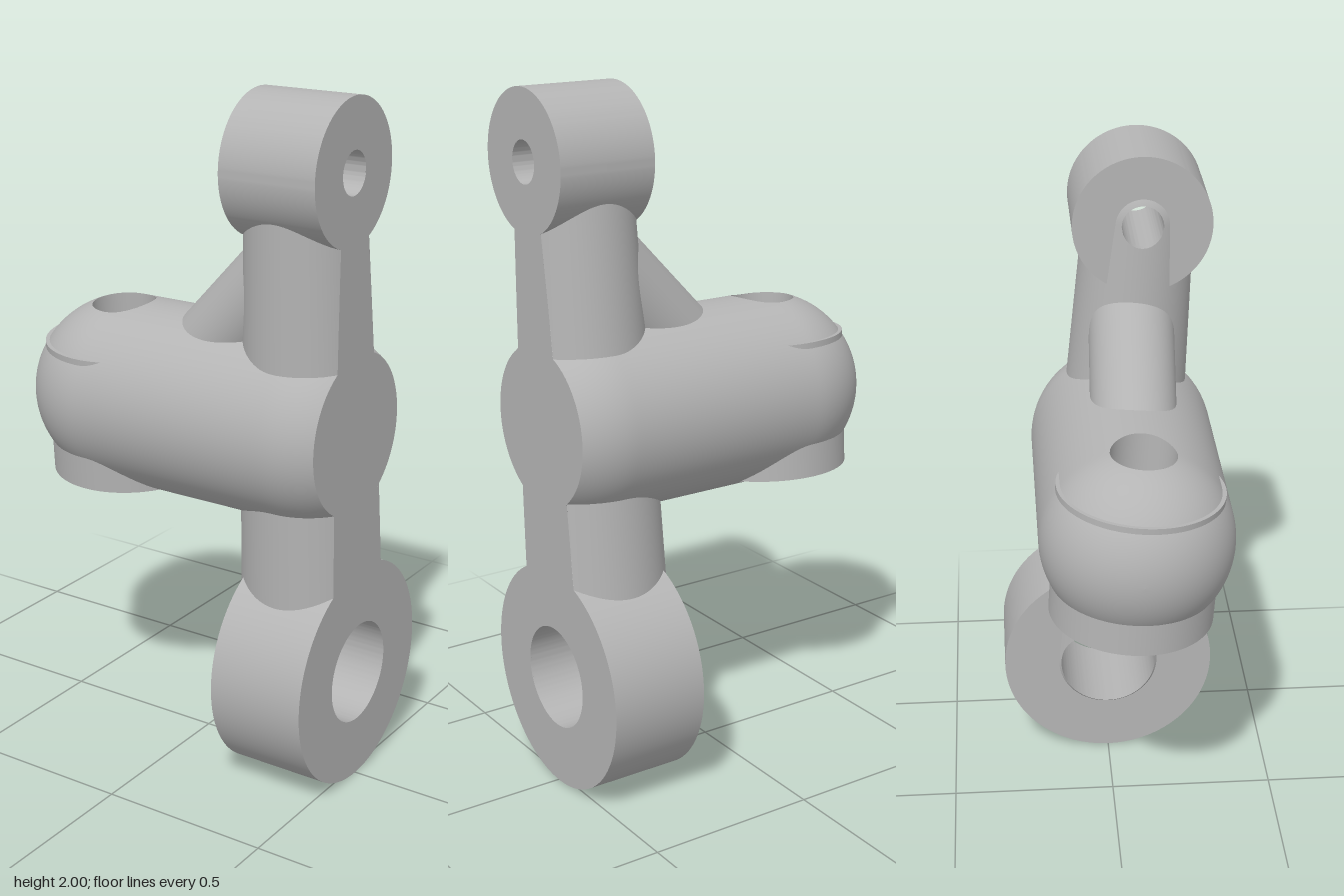
import * as THREE from 'three';
import { toCreasedNormals } from 'three/addons/utils/BufferGeometryUtils.js';

const V = (x, y, z) => new THREE.Vector3(x, y, z);
const UP = V(0, 1, 0);
const FACE_X = 0.52;   // flat machined face
const BACK_X = 0.23;   // inner face of the two eyes
const AXIS_X = 0.37;   // centre line of the arms

// Solid swept between two spheres
const rod = (a, b, ra, rb) => ({ a, b, ra, rb });

// Positive inside the rod, negative outside
function depthIn(s, p) {
  const d = s.b.clone().sub(s.a);
  const t = THREE.MathUtils.clamp(p.clone().sub(s.a).dot(d) / d.lengthSq(), 0, 1);
  return THREE.MathUtils.lerp(s.ra, s.rb, t) - p.distanceTo(s.a.clone().addScaledVector(d, t));
}

// Distance from a straight hole's wall, positive outside the hole
function outsideHole(p, centre, dir, r) {
  const q = p.clone().sub(centre);
  return q.addScaledVector(dir, -q.dot(dir)).length() - r;
}

// Round-ended rod turned from a profile, placed along its segment
function rodGeometry(s) {
  const len = s.a.distanceTo(s.b), pts = [], arc = 24, steps = 30;
  for (let i = 0; i <= arc; i++) {
    const t = (i / arc - 1) * Math.PI / 2;
    pts.push(new THREE.Vector2(Math.max(0, s.ra * Math.cos(t)), s.ra * Math.sin(t)));
  }
  for (let i = 1; i < steps; i++) {
    const t = i / steps;
    pts.push(new THREE.Vector2(THREE.MathUtils.lerp(s.ra, s.rb, t), len * t));
  }
  for (let i = 0; i <= arc; i++) {
    const t = (i / arc) * Math.PI / 2;
    pts.push(new THREE.Vector2(Math.max(0, s.rb * Math.cos(t)), len + s.rb * Math.sin(t)));
  }
  const dir = s.b.clone().sub(s.a).normalize();
  return new THREE.LatheGeometry(pts, 96)
    .applyQuaternion(new THREE.Quaternion().setFromUnitVectors(UP, dir))
    .translate(s.a.x, s.a.y, s.a.z);
}

// Trim a surface, keeping the part where keep(p) >= 0
function trim(geometry, keep) {
  const g = geometry.toNonIndexed(), P = g.attributes.position, N = g.attributes.normal;
  const pos = [], nor = [];
  const cross = (u, v) => {
    let lo = 0, hi = 1;
    for (let i = 0; i < 14; i++) {
      const m = (lo + hi) / 2;
      if ((keep(u.p.clone().lerp(v.p, m)) >= 0) === (u.f >= 0)) lo = m; else hi = m;
    }
    return { p: u.p.clone().lerp(v.p, lo), n: u.n.clone().lerp(v.n, lo).normalize() };
  };
  for (let i = 0; i < P.count; i += 3) {
    const tri = [0, 1, 2].map(k => {
      const p = V().fromBufferAttribute(P, i + k);
      return { p, n: V().fromBufferAttribute(N, i + k), f: keep(p) };
    });
    const poly = [];
    tri.forEach((u, k) => {
      const v = tri[(k + 1) % 3];
      if (u.f >= 0) poly.push(u);
      if ((u.f >= 0) !== (v.f >= 0)) poly.push(cross(u, v));
    });
    for (let k = 1; k + 1 < poly.length; k++) {
      for (const w of [poly[0], poly[k], poly[k + 1]]) {
        pos.push(w.p.x, w.p.y, w.p.z);
        nor.push(w.n.x, w.n.y, w.n.z);
      }
    }
  }
  const out = new THREE.BufferGeometry();
  out.setAttribute('position', new THREE.Float32BufferAttribute(pos, 3));
  out.setAttribute('normal', new THREE.Float32BufferAttribute(nor, 3));
  return out;
}

// Thick ring extruded along +z
function ringGeometry(r, hole, depth) {
  const shape = new THREE.Shape().absarc(0, 0, r, 0, Math.PI * 2);
  shape.holes.push(new THREE.Path().absarc(0, 0, hole, 0, Math.PI * 2, true));
  return toCreasedNormals(
    new THREE.ExtrudeGeometry(shape, { depth, bevelEnabled: false, curveSegments: 72 }), 0.5);
}

// Open tube lining a hole, from h0 to h1 along y
const liner = (r, h0, h1) =>
  new THREE.CylinderGeometry(r, r, h1 - h0, 72, 12, true).translate(0, (h0 + h1) / 2, 0);

export function createModel() {
  const model = new THREE.Group();
  const steel = new THREE.MeshStandardMaterial({ color: 0xb4b4b4, side: THREE.DoubleSide });
  steel.name = 'grey metal';
  const add = (name, geometry) => {
    const mesh = new THREE.Mesh(geometry, steel);
    mesh.name = name;
    model.add(mesh);
    return mesh;
  };

  // Horizontal body with a slightly tilted pin hole
  const pin = V(-0.25, 1.07, 0.05), hub = V(AXIS_X, 1.07, 0.05);
  const tilt = 0.066, pinR = 0.093;
  const pinDir = V(0, Math.cos(tilt), Math.sin(tilt));
  const body = rod(pin, hub, 0.275, 0.275);
  add('body', trim(rodGeometry(body), p =>
    Math.min(FACE_X - p.x, outsideHole(p, pin, pinDir, pinR))));
  const capR = Math.sqrt(0.275 ** 2 - (FACE_X - AXIS_X) ** 2);
  add('bodyEndFace', new THREE.CircleGeometry(capR, 72)
    .rotateY(Math.PI / 2).translate(FACE_X, hub.y, hub.z));

  // Round pad around the pin hole
  const place = g => g.rotateX(tilt).translate(pin.x, pin.y, pin.z);
  add('pinPad', place(ringGeometry(0.235, pinR, 0.4).rotateX(-Math.PI / 2).translate(0, -0.24, 0)));
  for (const [h0, h1] of [[-0.32, -0.24], [0.16, 0.32]]) {
    add('pinHoleWall', trim(place(liner(pinR, h0, h1)), p => depthIn(body, p)));
  }

  // Arms running from the body to the drilled eyes
  const arms = [
    { name: 'upper', y: 1.8, z: 0.1, eye: 0.2, hole: 0.06, root: 0.187, tip: 0.16, faceEnd: 1.66 },
    { name: 'lower', y: 0.33, z: 0, eye: 0.33, hole: 0.15, root: 0.19, tip: 0.21, faceEnd: 0.55 },
  ];
  for (const a of arms) {
    const end = V(AXIS_X, a.y, a.z), arm = rod(hub, end, a.root, a.tip);
    add(a.name + 'Arm', trim(rodGeometry(arm), p =>
      Math.min(FACE_X - p.x, outsideHole(p, end, V(1, 0, 0), a.hole))));
    add(a.name + 'Eye', ringGeometry(a.eye, a.hole, FACE_X - BACK_X)
      .rotateY(Math.PI / 2).translate(BACK_X, a.y, a.z));

    // Hole wall where the arm stands proud of the eye
    add(a.name + 'HoleWall', trim(
      liner(a.hole, 0.13, BACK_X).rotateZ(-Math.PI / 2).translate(0, a.y, a.z),
      p => depthIn(arm, p)));

    // Flat strip where the arm is cut by the machined face
    const corner = (t, side) => {
      const r = THREE.MathUtils.lerp(a.root, a.tip, t);
      const half = Math.sqrt(r * r - (FACE_X - AXIS_X) ** 2);
      return new THREE.Vector2(-THREE.MathUtils.lerp(hub.z, a.z, t) + side * half,
        THREE.MathUtils.lerp(hub.y, a.y, t));
    };
    const tEnd = (a.faceEnd - hub.y) / (a.y - hub.y), strip = [];
    for (let i = 0; i <= 8; i++) strip.push(corner(tEnd * i / 8, -1));
    for (let i = 8; i >= 0; i--) strip.push(corner(tEnd * i / 8, 1));
    add(a.name + 'ArmFace', new THREE.ShapeGeometry(new THREE.Shape(strip))
      .rotateY(Math.PI / 2).translate(FACE_X, 0, 0));
  }

  // Diagonal brace between body and upper arm
  add('brace', rodGeometry(rod(V(-0.08, 1.09, 0.06), V(0.35, 1.555, 0.075), 0.125, 0.125)));

  return model;
}
